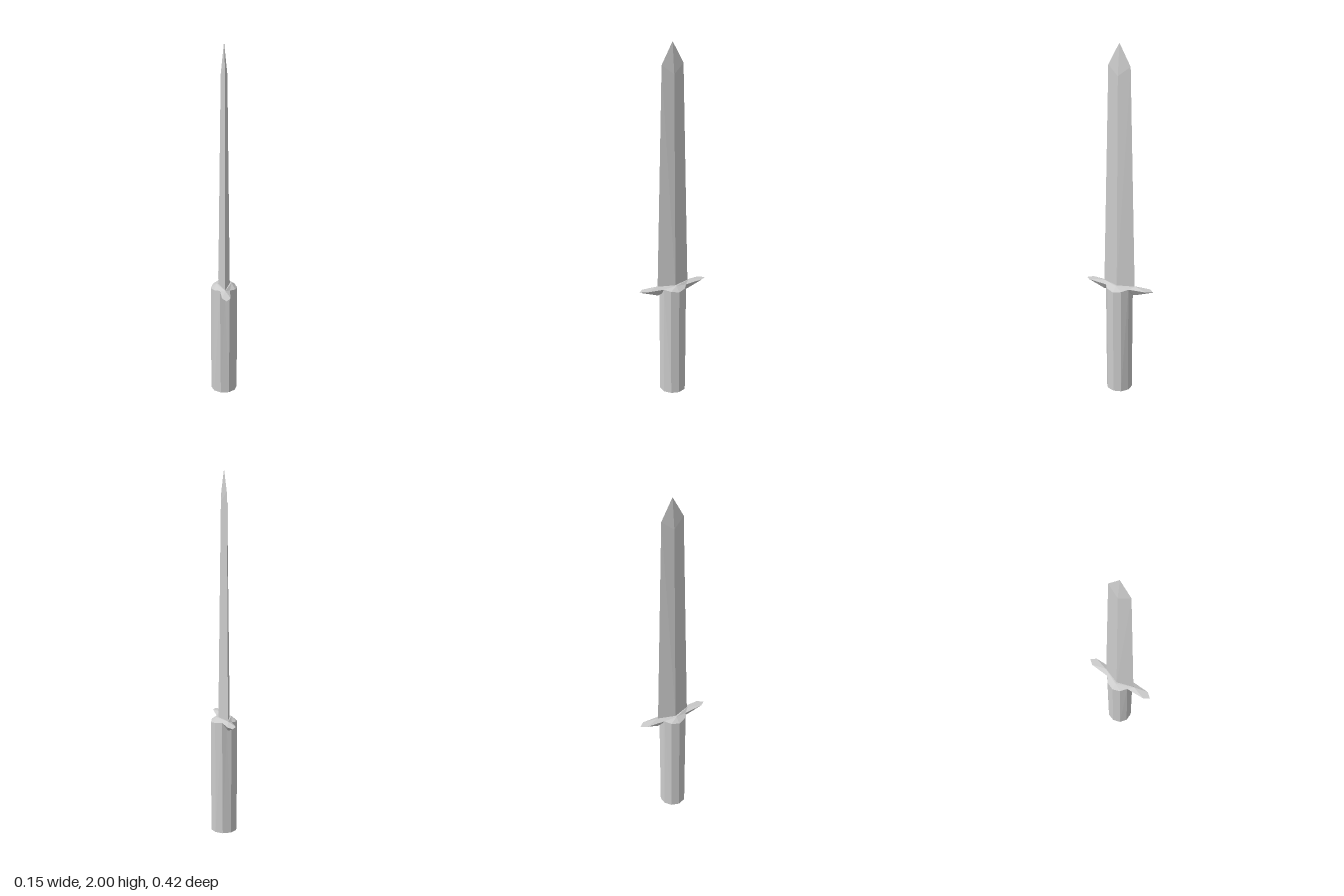
import * as THREE from 'three';

// Mirrors the triangles of one quarter (+x, +z) into all four quarters.
function mirroredPart(name, triangles) {
  const positions = [];
  for (const sx of [1, -1]) {
    for (const sz of [1, -1]) {
      for (const [a, b, c] of triangles) {
        const corners = sx * sz > 0 ? [a, b, c] : [a, c, b];
        for (const [x, y, z] of corners) positions.push(x * sx, y, z * sz);
      }
    }
  }
  const geometry = new THREE.BufferGeometry();
  geometry.setAttribute('position', new THREE.Float32BufferAttribute(positions, 3));
  geometry.computeVertexNormals();
  const material = new THREE.MeshStandardMaterial({ color: 0xcccccc, flatShading: true });
  const mesh = new THREE.Mesh(geometry, material);
  mesh.name = name;
  return mesh;
}

export function createModel() {
  const model = new THREE.Group();
  model.name = 'dagger';

  // Rim shared by the ten-sided handle and the guard, from the side to the front
  const rim = [[0.073, 0.645, 0], [0.059, 0.652, 0.043], [0.027, 0.659, 0.07], [0, 0.624, 0.069]];
  const foot = [[0.073, 0.018, 0], [0.059, 0.018, 0.043], [0.023, 0.018, 0.069], [0, 0.018, 0.069]];

  // Handle: side panels and a shallow pointed base
  const handle = [];
  for (let i = 0; i < 3; i++) {
    handle.push([foot[i], rim[i], rim[i + 1]], [foot[i], rim[i + 1], foot[i + 1]]);
    handle.push([[0, 0, 0], foot[i], foot[i + 1]]);
  }
  model.add(mirroredPart('handle', handle));

  // Guard: sloping collar around the blade, with a keeled wing to front and back
  const [rimSide, rimMid, rimWing, keelRoot] = rim;
  const centre = [0, 0.672, 0];
  const collarSide = [0.042, 0.672, 0];
  const collarFront = [0, 0.672, 0.1];
  const wingEdge = [0.023, 0.665, 0.178];
  const wingTip = [0, 0.662, 0.208];
  const keel = [0, 0.619, 0.094];
  model.add(mirroredPart('guard', [
    [centre, collarFront, collarSide],
    [collarSide, rimMid, rimSide],
    [collarSide, rimWing, rimMid],
    [collarSide, collarFront, rimWing],
    [collarFront, wingEdge, rimWing],
    [collarFront, wingTip, wingEdge],
    [rimWing, wingEdge, keel],
    [wingEdge, wingTip, keel],
    [rimWing, keel, keelRoot],
  ]));

  // Blade: tapering diamond section with a faceted point
  const baseRidge = [0.032, 0.665, 0];
  const baseEdge = [0, 0.665, 0.095];
  const topRidge = [0.017, 1.835, 0];
  const shoulder = [0, 1.885, 0.064];
  const tip = [0, 2, 0];
  model.add(mirroredPart('blade', [
    [baseRidge, topRidge, shoulder],
    [baseRidge, shoulder, baseEdge],
    [topRidge, tip, shoulder],
  ]));

  return model;
}
